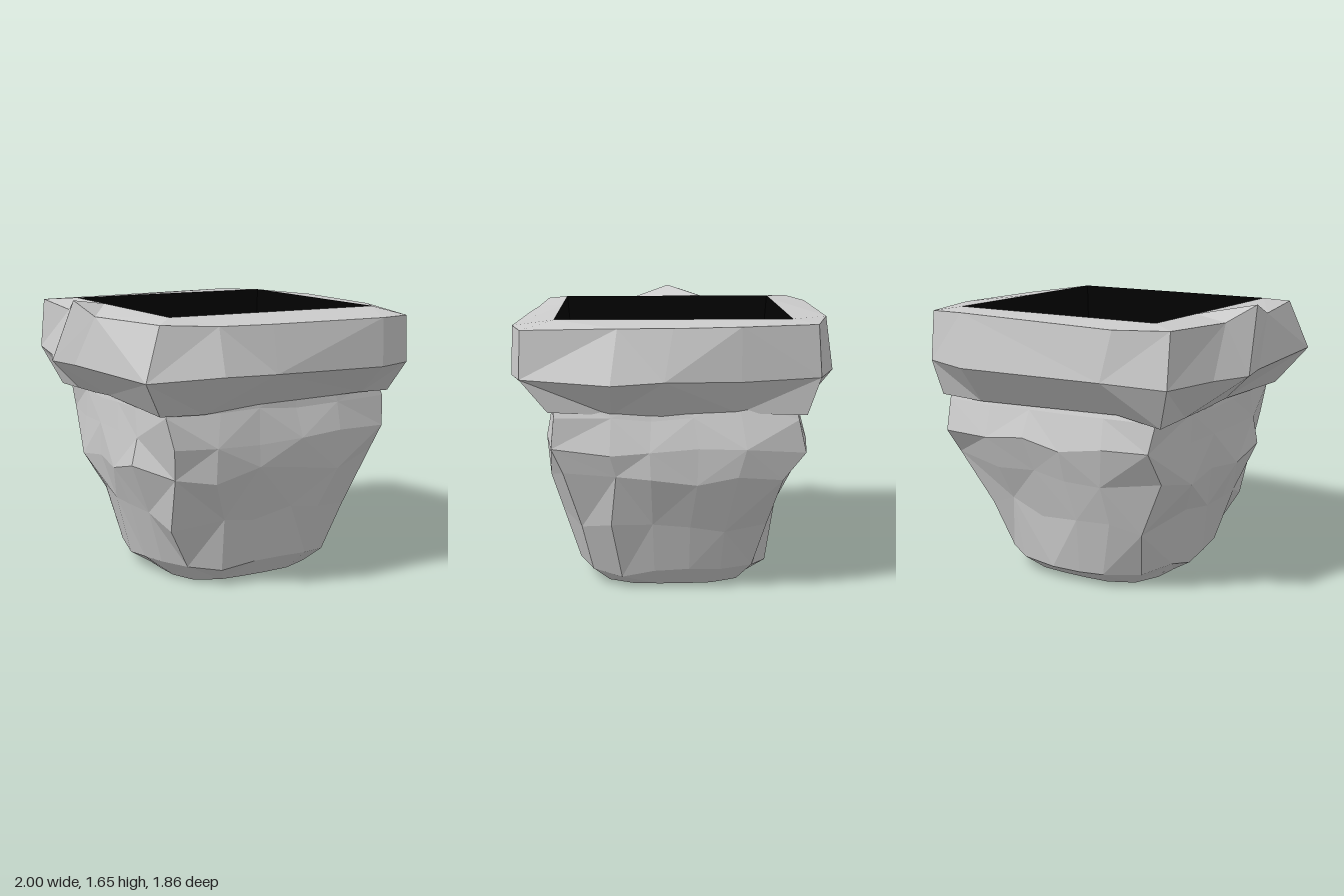
import * as THREE from 'three';

const stone = new THREE.MeshStandardMaterial({ color: 0xcccccc, flatShading: true, side: THREE.DoubleSide });
const dark = new THREE.MeshStandardMaterial({ color: 0x020202, flatShading: true });
const clamp = THREE.MathUtils.clamp;

// Repeatable noise in -1..1
function makeNoise(seed) {
  return () => {
    seed = (seed * 16807) % 2147483647;
    return (seed / 2147483647) * 2 - 1;
  };
}

// Skins a stack of rings of [x, y, z] points; optionally caps the first or last ring
function loft(name, rings, material, { capFirst = false, capLast = false } = {}) {
  const pos = [];
  const tri = (...pts) => pts.forEach((p) => pos.push(...p));
  const centre = (ring) => [0, 1, 2].map((k) => ring.reduce((s, p) => s + p[k], 0) / ring.length);
  const n = rings[0].length;
  for (let r = 0; r < rings.length - 1; r++) {
    for (let i = 0; i < n; i++) {
      const j = (i + 1) % n;
      const a = rings[r][i], b = rings[r][j], c = rings[r + 1][i], d = rings[r + 1][j];
      if ((i + r) % 2) tri(a, c, b, b, c, d);
      else tri(a, c, d, a, d, b);
    }
  }
  for (let i = 0; i < n; i++) {
    const j = (i + 1) % n;
    const first = rings[0], last = rings[rings.length - 1];
    if (capFirst) tri(centre(first), first[i], first[j]);
    if (capLast) tri(centre(last), last[j], last[i]);
  }
  const geometry = new THREE.BufferGeometry();
  geometry.setAttribute('position', new THREE.Float32BufferAttribute(pos, 3));
  geometry.computeVertexNormals();
  const mesh = new THREE.Mesh(geometry, material);
  mesh.name = name;
  return mesh;
}

// Rough tapering body: rounded squares, chipped by noise and hollowed by a few dents
function makeBody() {
  const noise = makeNoise(4711);
  const sides = 20;
  // height, extent to -x, +x, +z, -z, squareness, roughness
  const levels = [
    [0, 0.45, 0.47, 0.44, 0.48, 3.6, 0],
    [0.1, 0.57, 0.59, 0.56, 0.6, 3, 0.5],
    [0.42, 0.68, 0.71, 0.65, 0.68, 3.4, 0.9],
    [0.7, 0.77, 0.83, 0.72, 0.75, 4.5, 0.8],
    [0.88, 0.74, 0.83, 0.73, 0.8, 8, 0.5],
    [1.06, 0.73, 0.78, 0.69, 0.75, 14, 0.2],
    [1.17, 0.71, 0.75, 0.68, 0.71, 14, 0],
  ];
  // angle, height, depth
  const dents = [
    [1.3, 0.6, 0.06], [-0.2, 0.5, 0.08], [0.3, 0.62, 0.06],
    [-1.3, 0.45, 0.06], [3.4, 0.55, 0.05], [1.8, 0.3, 0.05], [4.6, 0.6, 0.05],
  ];
  const rings = levels.map(([y, left, right, front, back, square, rough]) =>
    Array.from({ length: sides }, (_, i) => {
      const t = ((i + 0.5 + 0.2 * rough * noise()) / sides) * Math.PI * 2;
      const c = Math.cos(t), s = Math.sin(t);
      const reach = (Math.abs(c) ** square + Math.abs(s) ** square) ** (-1 / square);
      const yy = y + 0.06 * rough * noise();
      let scale = reach * (1 + 0.03 * rough * noise());
      for (const [angle, height, depth] of dents) {
        const da = Math.atan2(Math.sin(t - angle), Math.cos(t - angle));
        scale -= rough * depth * Math.exp(-((da / 0.25) ** 2) - ((yy - height) / 0.2) ** 2);
      }
      return [c * scale * (c > 0 ? right : left), yy, s * scale * (s > 0 ? front : back)];
    }));
  return loft('potBody', rings, stone, { capFirst: true });
}

// Chunky rim: sloping underside, wide skirt, lip and flat top around the square opening
function makeRim() {
  const noise = makeNoise(97);
  const skirt = [
    [-0.84, -0.86], [-0.47, -0.93], [0.47, -0.93], [0.78, -0.82], [0.89, -0.37], [0.96, 0.05], [1, 0.34],
    [0.78, 0.84], [0.57, 0.9], [-0.13, 0.9], [-0.47, 0.93], [-0.89, 0.84], [-0.95, 0], [-1, -0.23], [-0.91, -0.48],
  ];
  const lip = [
    [-0.83, -0.81], [-0.53, -0.9], [0.5, -0.88], [0.77, -0.8], [0.88, -0.37], [0.89, 0], [0.88, 0.3],
    [0.78, 0.83], [0.57, 0.89], [-0.13, 0.85], [-0.45, 0.82], [-0.78, 0.78], [-0.9, 0.2], [-0.94, -0.02], [-0.87, -0.27],
  ];
  const underside = skirt.map(([x, z]) =>
    [clamp(x, -0.74, 0.76), 1.08 + 0.03 * noise(), clamp(z, -0.75, 0.69)]);
  // lip sits slightly lower along the front
  const lipRing = lip.map(([x, z]) => [x, 1.58 - 0.015 * z + 0.012 * noise(), z]);
  lipRing[13][1] = 1.65; // raised chip on one side
  const opening = skirt.map(([x, z]) => [clamp(x, -0.66, 0.66), 1.602, clamp(z, -0.67, 0.65)]);
  return loft('rim', [
    underside,
    skirt.map(([x, z]) => [x, 1.29 + 0.012 * noise(), z]),
    lipRing,
    opening,
  ], stone);
}

// Deep dark square hollow
function makeHollow() {
  const square = (h, y) => [[-h, -h], [h, -h], [h, h], [-h, h]].map(([x, z]) => [x, y, z - 0.01]);
  return loft('hollow', [square(0.66, 1.602), square(0.575, 0.6)], dark, { capLast: true });
}

export function createModel() {
  const group = new THREE.Group();
  group.name = 'stonePot';
  group.add(makeBody(), makeRim(), makeHollow());
  return group;
}
